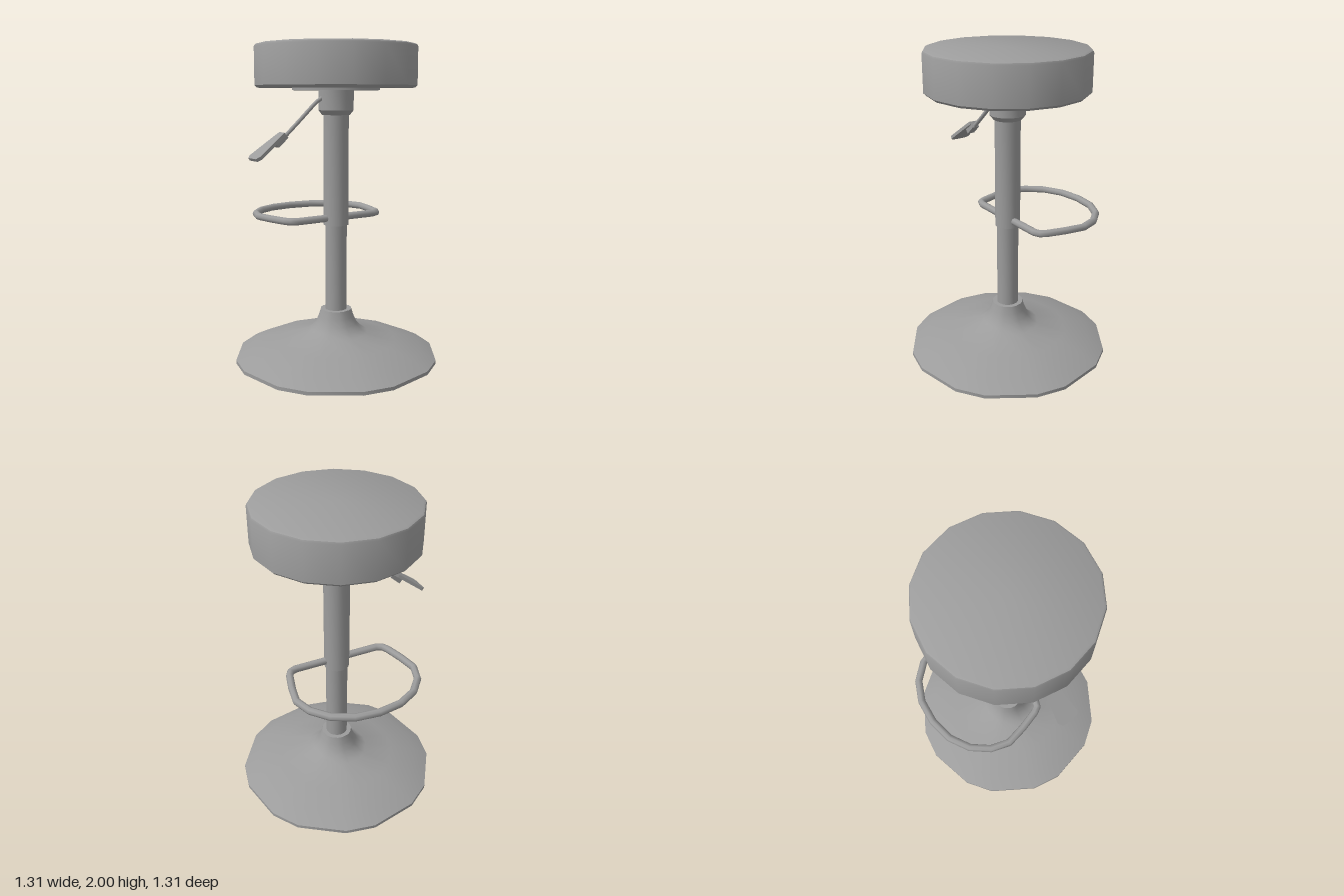
import * as THREE from 'three';
import { toCreasedNormals } from 'three/addons/utils/BufferGeometryUtils.js';

const SIDES = 16;
const CREASE = 0.6;

export function createModel() {
  const stool = new THREE.Group();
  stool.name = 'barStool';
  const grey = new THREE.MeshStandardMaterial({ color: 0x9c9c9c });
  grey.name = 'grey';

  const add = (name, geometry, parent = stool) => {
    const mesh = new THREE.Mesh(geometry, grey);
    mesh.name = name;
    parent.add(mesh);
    return mesh;
  };
  // Profiles run from bottom to top as [radius, height]
  const lathe = (profile) =>
    new THREE.LatheGeometry(profile.map(([r, y]) => new THREE.Vector2(r, y)), SIDES);
  const turned = (name, profile) => add(name, toCreasedNormals(lathe(profile), CREASE));

  // Flared base, with sides of alternating width
  const base = lathe([
    [0, 0], [0.655, 0], [0.655, 0.022], [0.56, 0.07], [0.39, 0.12], [0.205, 0.165],
    [0.165, 0.19], [0.135, 0.225], [0.115, 0.27], [0.1, 0.32], [0.07, 0.32],
  ]);
  const pos = base.attributes.position;
  for (let i = 0; i < pos.count; i++) {
    const r = Math.hypot(pos.getX(i), pos.getZ(i));
    const step = Math.round(Math.atan2(pos.getX(i), pos.getZ(i)) / (Math.PI / 8));
    const degrees = step * 22.5 + (Math.abs(step) % 2 ? 2.8 : -2.6);
    const a = THREE.MathUtils.degToRad(degrees);
    pos.setX(i, r * Math.sin(a));
    pos.setZ(i, r * Math.cos(a));
  }
  add('base', toCreasedNormals(base, CREASE));

  // Telescopic column
  turned('innerColumn', [[0.07, 0.28], [0.07, 0.9]]);
  turned('outerColumn', [[0.065, 0.875], [0.081, 0.875], [0.081, 1.6]]);
  turned('collar', [[0.078, 1.57], [0.088, 1.57], [0.112, 1.6], [0.112, 1.725]]);

  // Seat and its mounting plate
  turned('seatPlate', [[0, 1.722], [0.275, 1.722], [0.275, 1.745]]);
  turned('seat', [
    [0, 1.737], [0.49, 1.737], [0.505, 1.752], [0.505, 1.982], [0.5, 1.993], [0.488, 2], [0, 2],
  ]);

  // Footrest loop: a straight bar through the column and an arc behind it
  const half = [[0.15, -0.572], [0.275, -0.508], [0.362, -0.408], [0.4, -0.295],
    [0.378, -0.17], [0.345, -0.05], [0.325, -0.012], [0.285, 0.004]];
  const loop = [[0, -0.592], ...half, ...half.map(([x, z]) => [-x, z]).reverse()]
    .map(([x, z]) => new THREE.Vector3(x, 0.921, z));
  const path = new THREE.CatmullRomCurve3(loop, true);
  path.getPointAt = (t, target) => path.getPoint(t, target);
  path.getTangentAt = (t, target) => path.getTangent(t, target);
  add('footrest', new THREE.TubeGeometry(path, loop.length, 0.0235, 8, true));

  // Height lever: bent rod, socket and flat paddle
  const lever = new THREE.Group();
  lever.name = 'lever';
  stool.add(lever);
  const rod = new THREE.CatmullRomCurve3([
    [-0.06, 1.69], [-0.115, 1.67], [-0.15, 1.645], [-0.27, 1.535], [-0.4, 1.418],
  ].map(([x, y]) => new THREE.Vector3(x, y, 0)));
  add('leverRod', new THREE.TubeGeometry(rod, 10, 0.013, 8), lever);

  const socket = add('leverSocket', new THREE.BoxGeometry(0.085, 0.034, 0.05), lever);
  socket.position.set(-0.4, 1.425, 0);
  socket.rotation.z = 0.72;

  const outline = [[0, 0.032], [-0.03, 0.04], [-0.225, 0.068], [-0.25, 0.05]];
  const shape = new THREE.Shape(
    [...outline, ...outline.map(([u, v]) => [u, -v]).reverse()].map(([u, v]) => new THREE.Vector2(u, v)),
  );
  const plate = new THREE.ExtrudeGeometry(shape, { depth: 0.02, bevelEnabled: false });
  plate.rotateX(-Math.PI / 2);
  const paddle = add('leverPaddle', plate, lever);
  paddle.position.set(-0.375, 1.457, 0);
  paddle.rotation.z = 0.63;

  return stool;
}
